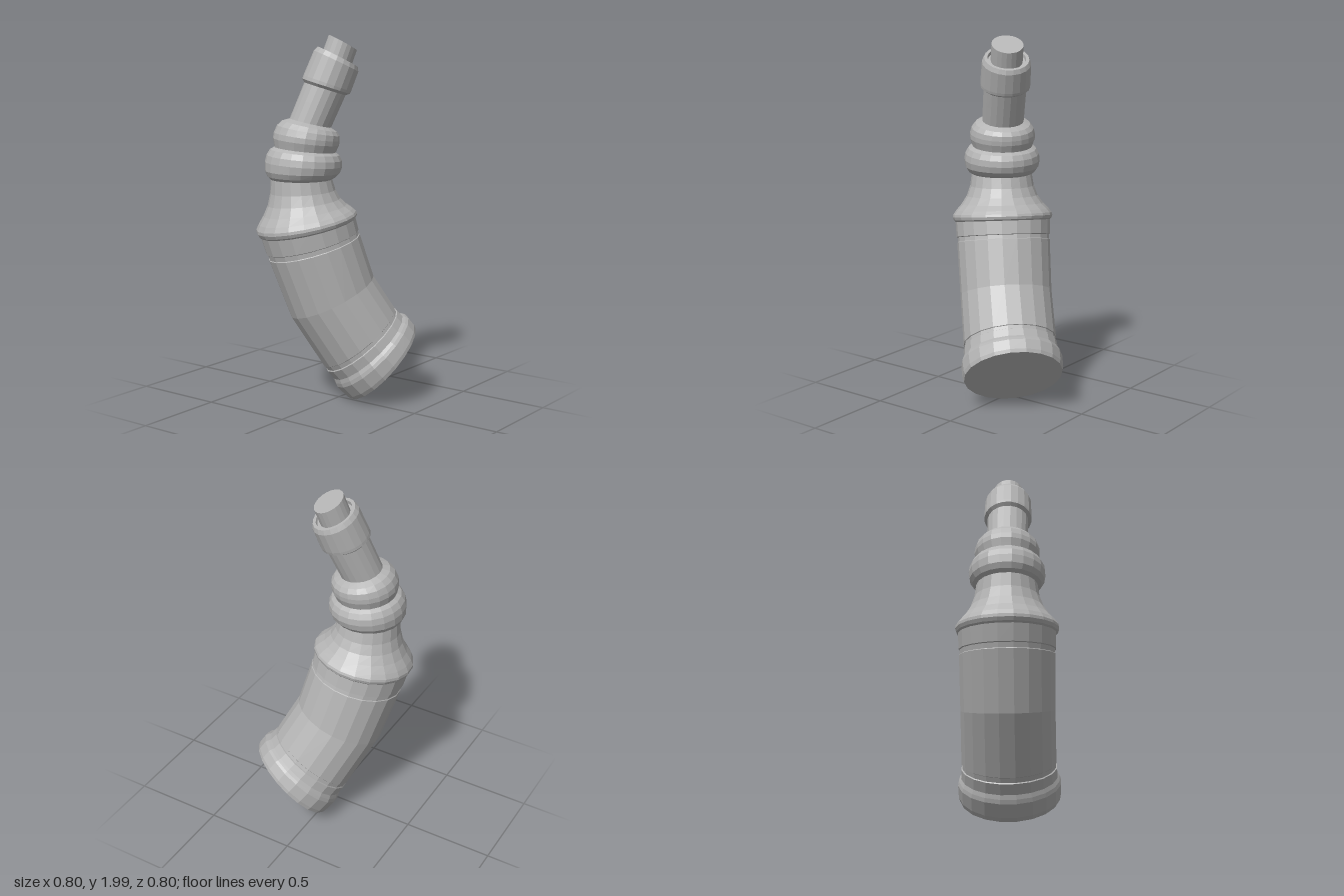
import * as THREE from 'three';

const SIDES = 20;

// Bent centre line: [offset along the bend diagonal, height, tilt in degrees]
const SPINE = [
  [0.24, 0.20, 47], [0.12, 0.335, 40], [-0.04, 0.585, 26], [-0.155, 0.91, 14],
  [-0.18, 1.005, 11], [-0.205, 1.23, 0], [-0.193, 1.31, -4], [-0.177, 1.45, -7],
  [-0.155, 1.53, -13], [-0.07, 1.725, -18], [-0.007, 1.88, -27], [0.02, 1.955, -29],
];

// Each part is a profile of [position along the spine, radius]
const PARTS = {
  baseCollar: [[0, 0], [0, 0.267], [0.12, 0.273], [0.48, 0.275], [0.58, 0.268], [0.68, 0.257], [0.96, 0.255], [0.98, 0.249]],
  curvedBody: [[0.98, 0.249], [1.06, 0.249], [1.07, 0.253], [2, 0.252], [2.84, 0.257], [2.85, 0.253], [2.92, 0.253]],
  upperBand: [[2.92, 0.253], [2.93, 0.259], [3.6, 0.262]],
  shoulderRim: [[3.6, 0.262], [3.68, 0.271], [3.85, 0.277], [4, 0.274], [4.1, 0.258]],
  flaredShoulder: [[4.1, 0.258], [4.25, 0.227], [4.45, 0.197], [4.7, 0.176], [5, 0.166]],
  lowerBulge: [[5, 0.166], [5.18, 0.186], [5.5, 0.202], [6, 0.208], [6.25, 0.203], [6.46, 0.187], [6.56, 0.165]],
  upperBulge: [[6.56, 0.165], [6.7, 0.171], [6.86, 0.178], [7.1, 0.178], [7.5, 0.17], [7.8, 0.15], [8, 0.113]],
  stem: [[8, 0.113], [8.5, 0.114], [8.93, 0.115]],
  tipSleeve: [[8.93, 0.115], [9, 0.133], [9.1, 0.134], [9.85, 0.131], [10, 0.12], [10, 0.103], [9.9, 0.1], [9.9, 0.085]],
  tipPin: [[9.9, 0.085], [11, 0.085], [11, 0]],
};

// Ring of points square to the spine
function ring(t, r) {
  const i = Math.min(Math.floor(t), SPINE.length - 2);
  const [u, y, deg] = SPINE[i].map((v, k) => THREE.MathUtils.lerp(v, SPINE[i + 1][k], t - i));
  const a = THREE.MathUtils.degToRad(deg);
  const points = [];
  for (let j = 0; j < SIDES; j++) {
    const phi = ((j + 0.5) / SIDES) * Math.PI * 2;
    const across = r * Math.cos(phi), side = r * Math.sin(phi);
    const bend = u + across * Math.cos(a);
    points.push([(bend + side) * Math.SQRT1_2, y + across * Math.sin(a), (bend - side) * Math.SQRT1_2]);
  }
  return points;
}

// Faceted skin through successive rings
function skin(profile) {
  const rings = profile.map(([t, r]) => ring(t, r));
  const positions = [];
  for (let i = 0; i < rings.length - 1; i++) {
    for (let j = 0; j < SIDES; j++) {
      const k = (j + 1) % SIDES;
      const a = rings[i][j], b = rings[i][k], c = rings[i + 1][k], d = rings[i + 1][j];
      if (profile[i][1] > 0) positions.push(...a, ...b, ...c);
      if (profile[i + 1][1] > 0) positions.push(...a, ...c, ...d);
    }
  }
  const geometry = new THREE.BufferGeometry();
  geometry.setAttribute('position', new THREE.Float32BufferAttribute(positions, 3));
  geometry.computeVertexNormals();
  return geometry;
}

export function createModel() {
  const group = new THREE.Group();
  group.name = 'curvedHandle';
  const grey = new THREE.MeshStandardMaterial({ color: 0xb4b4b4 });
  grey.name = 'grey';
  for (const [name, profile] of Object.entries(PARTS)) {
    const mesh = new THREE.Mesh(skin(profile), grey);
    mesh.name = name;
    group.add(mesh);
  }
  return group;
}
